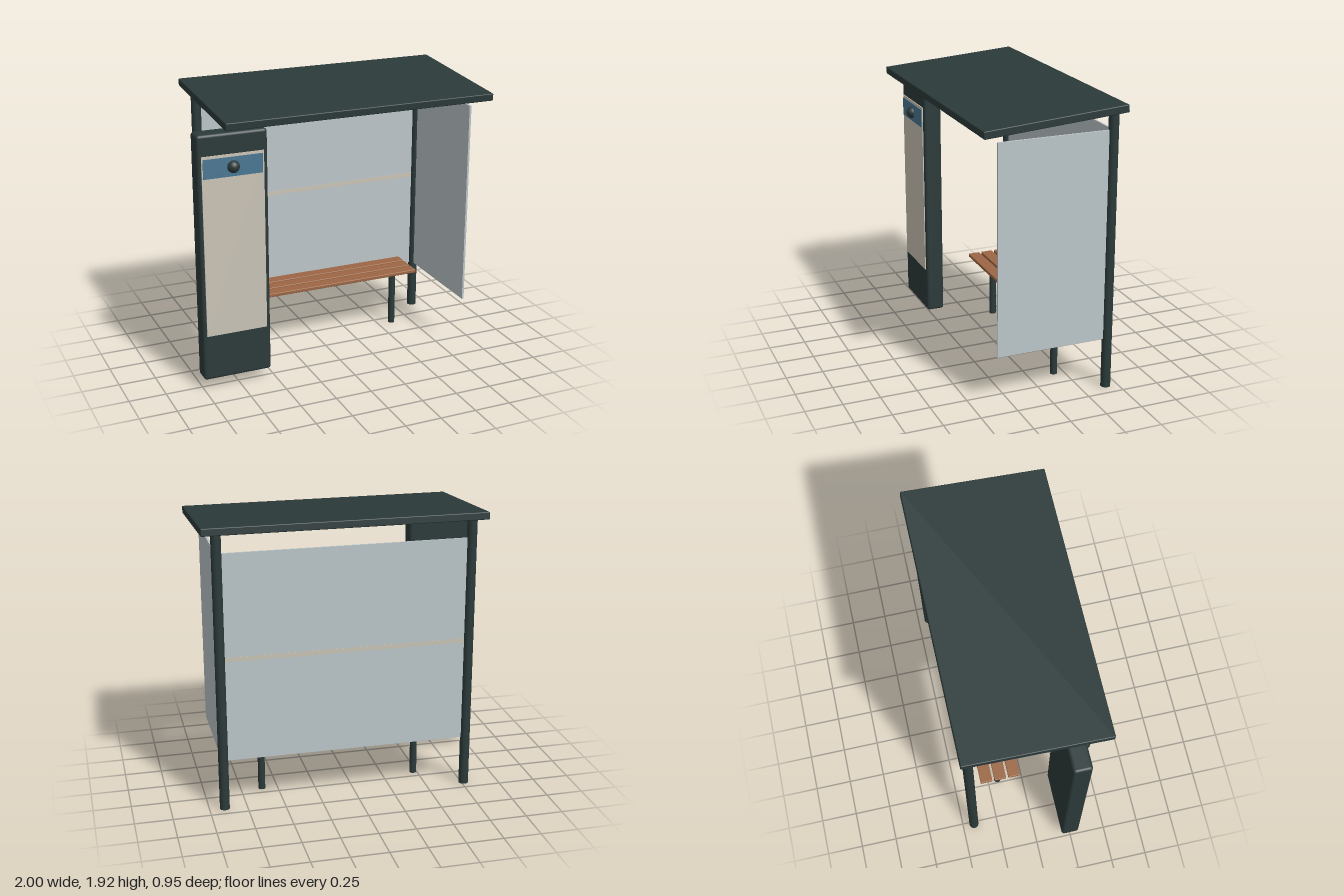
import * as THREE from 'three';
import { RoundedBoxGeometry } from 'three/addons/geometries/RoundedBoxGeometry.js';

const material = (name, color) => {
  const m = new THREE.MeshStandardMaterial({ color });
  m.name = name;
  return m;
};

export function createModel() {
  const metal = material('dark metal', 0x2c3a3a);
  const glass = material('pale glass', 0xbcc6c9);
  const paper = material('cream paper', 0xcac4b6);
  const blue = material('blue header', 0x4a7792);
  const wood = material('bench wood', 0x9c6744);

  const model = new THREE.Group();
  model.name = 'busShelter';

  const add = (name, geometry, mat, x, y, z, parent = model) => {
    const mesh = new THREE.Mesh(geometry, mat);
    mesh.name = name;
    mesh.position.set(x, y, z);
    parent.add(mesh);
    return mesh;
  };
  // Box given by its min and max on each axis
  const span = (name, mat, [x0, x1], [y0, y1], [z0, z1], parent, radius = 0) => {
    const size = [x1 - x0, y1 - y0, z1 - z0];
    const geometry = radius
      ? new RoundedBoxGeometry(...size, 3, radius)
      : new THREE.BoxGeometry(...size);
    return add(name, geometry, mat, (x0 + x1) / 2, (y0 + y1) / 2, (z0 + z1) / 2, parent);
  };
  const pole = (name, radius, height, x, z, parent) =>
    add(name, new THREE.CylinderGeometry(radius, radius, height, 20), metal, x, height / 2, z, parent);

  // Rear posts and sloping roof
  const middle = 0.067;
  for (const side of [-1, 1]) pole('rearPost', 0.033, 1.865, middle + side * 0.832, -0.42);
  const roof = add('roof', new RoundedBoxGeometry(1.86, 0.05, 0.95, 2, 0.006), metal, 0.067, 1.859, 0);
  roof.rotation.x = 0.076;

  // Glass walls with a marker band across the back
  span('backGlass', glass, [-0.765, 0.899], [0.345, 1.745], [-0.426, -0.414]);
  span('sideGlass', glass, [0.893, 0.907], [0.345, 1.745], [-0.42, 0.35]);
  span('glassBand', paper, [-0.762, 0.896], [1.03, 1.06], [-0.428, -0.412]);

  // Slatted bench on two legs
  const bench = new THREE.Group();
  bench.name = 'bench';
  model.add(bench);
  for (const i of [-1, 0, 1]) {
    const z = -0.18 + i * 0.1;
    span('benchSlat', wood, [-0.595, 0.728], [0.425, 0.45], [z - 0.042, z + 0.042], bench, 0.005);
  }
  for (const side of [-1, 1]) pole('benchLeg', 0.024, 0.43, middle + side * 0.54, -0.18, bench);

  // Information panel with poster, header and round badge
  const panel = new THREE.Group();
  panel.name = 'informationPanel';
  model.add(panel);
  span('panelCase', metal, [-1, -0.532], [0.072, 1.742], [0.185, 0.31], panel, 0.02);
  span('poster', paper, [-0.974, -0.56], [0.388, 1.605], [0.307, 0.316], panel);
  span('posterHeader', blue, [-0.966, -0.57], [1.46, 1.587], [0.313, 0.321], panel);
  add('badge', new THREE.SphereGeometry(0.041, 24, 16), metal, -0.767, 1.523, 0.319, panel);

  return model;
}
